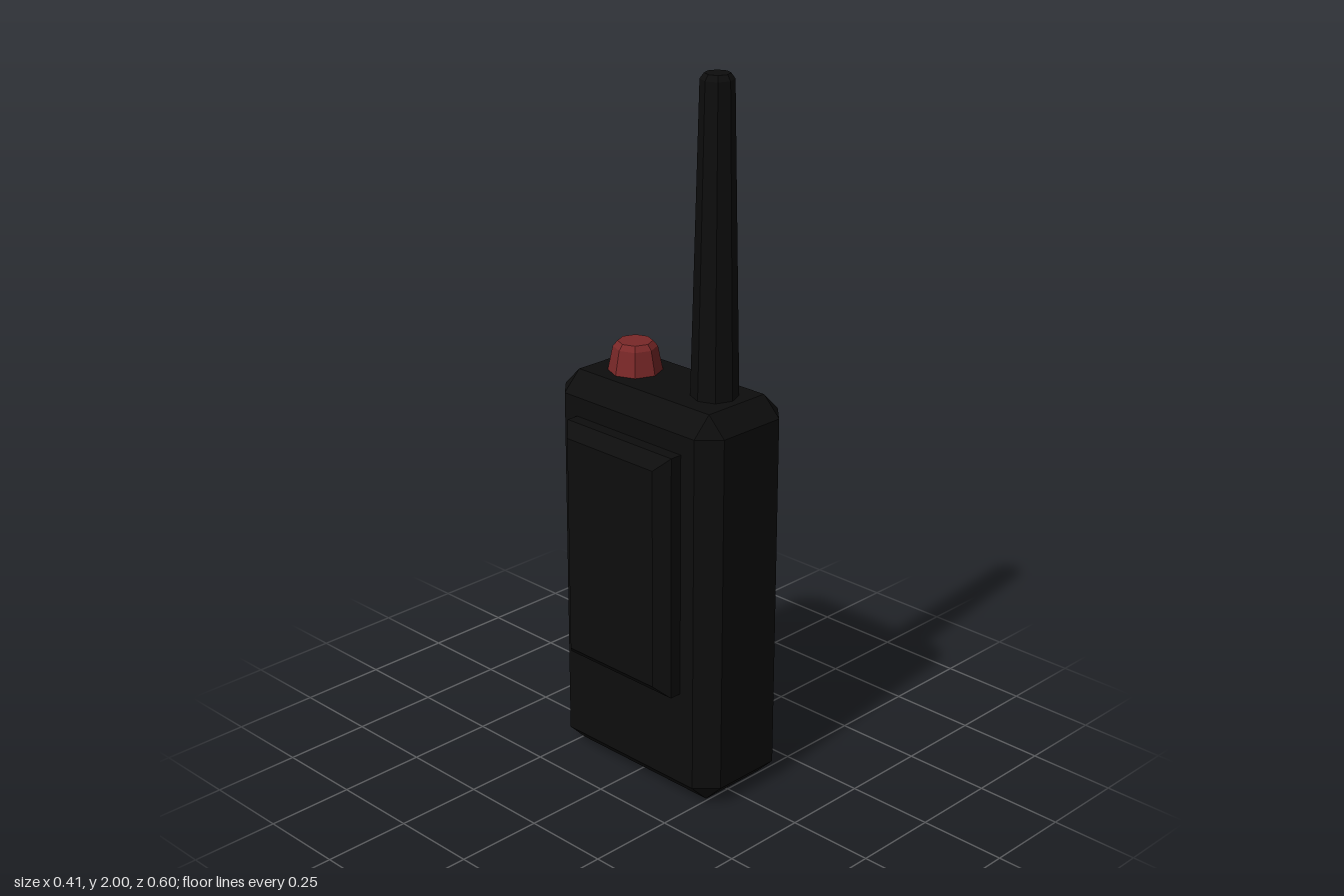
import * as THREE from 'three';
import { ConvexGeometry } from 'three/addons/geometries/ConvexGeometry.js';

const material = (name, color) => {
  const m = new THREE.MeshStandardMaterial({ color, flatShading: true });
  m.name = name;
  return m;
};

// Box with every edge cut by a flat chamfer c
function chamferedBox(w, h, d, c) {
  const points = [];
  for (const x of [-1, 1]) for (const y of [-1, 1]) for (const z of [-1, 1]) {
    for (let axis = 0; axis < 3; axis++) {
      const inset = [c, c, c];
      inset[axis] = 0;
      points.push(new THREE.Vector3(
        x * (w / 2 - inset[0]), y * (h / 2 - inset[1]), z * (d / 2 - inset[2])));
    }
  }
  return new ConvexGeometry(points);
}

// Eight-sided turned part from [radius, y] pairs
function turned(profile) {
  return new THREE.LatheGeometry(profile.map(([r, y]) => new THREE.Vector2(r, y)), 8);
}

export function createModel() {
  const group = new THREE.Group();
  const black = material('black plastic', 0x0d0d0d);
  const red = material('red plastic', 0x7a2828);
  const grey = material('screen grey', 0xc0c0c0);

  const add = (name, geometry, mat, x = 0, y = 0, z = 0) => {
    const mesh = new THREE.Mesh(geometry, mat);
    mesh.name = name;
    mesh.position.set(x, y, z);
    group.add(mesh);
  };

  // Main case
  add('body', chamferedBox(0.32, 1.14, 0.597, 0.055), black, 0.025, 0.57, -0.001);

  // Battery pack on the back, bevelled on its outer face
  const pack = [];
  for (const [x, inset] of [[-0.13, 0], [-0.17, 0], [-0.205, 0.035]]) {
    for (const sy of [-1, 1]) for (const sz of [-1, 1]) {
      pack.push(new THREE.Vector3(x, sy * (0.35 - inset), sz * (0.196 - inset)));
    }
  }
  add('batteryPack', new ConvexGeometry(pack), black, 0, 0.68, -0.001);

  // Raised lower panel, wider at the bottom
  const panel = new THREE.Shape([
    new THREE.Vector2(-0.195, 0.1), new THREE.Vector2(0.195, 0.1),
    new THREE.Vector2(0.16, 0.62), new THREE.Vector2(-0.16, 0.62),
  ]);
  const panelGeometry = new THREE.ExtrudeGeometry(panel, { depth: 0.025, bevelEnabled: false });
  panelGeometry.rotateY(Math.PI / 2);
  add('lowerPanel', panelGeometry, black, 0.18, 0, -0.002);

  // Display
  add('screen', new THREE.BoxGeometry(0.006, 0.355, 0.38), grey, 0.185, 0.8525, 0);

  // Antenna and control knob on top
  add('antenna', turned([[0, 1.13], [0.065, 1.13], [0.045, 1.985], [0.034, 2], [0, 2]]),
    black, 0.033, 0, 0.155);
  add('knob', turned([[0, 1.13], [0.075, 1.13], [0.075, 1.14], [0.061, 1.208], [0.048, 1.223], [0, 1.223]]),
    red, 0.024, 0, -0.133);

  return group;
}
